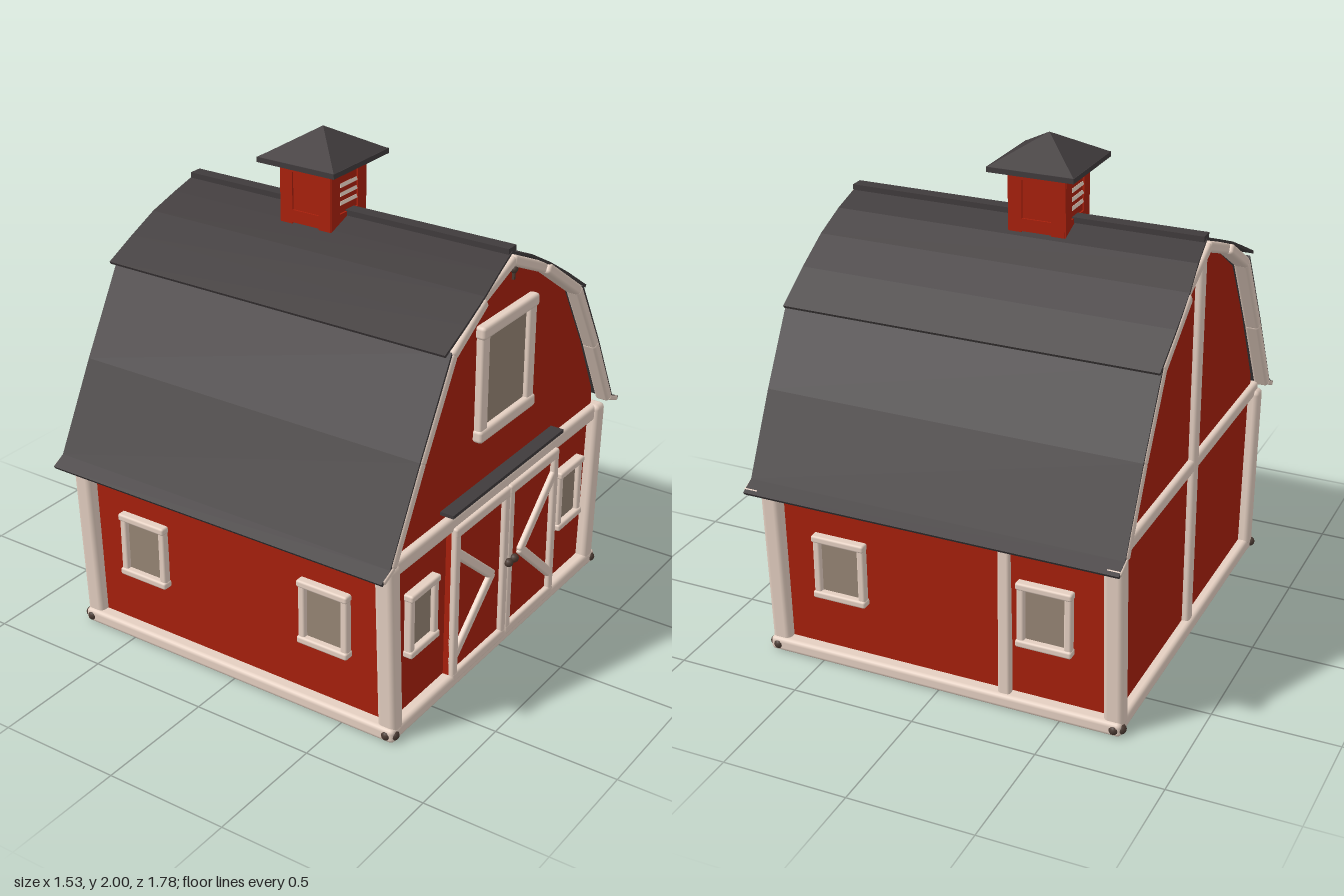
import * as THREE from 'three';
import { RoundedBoxGeometry } from 'three/addons/geometries/RoundedBoxGeometry.js';

const mat = (name, color) => {
  const m = new THREE.MeshStandardMaterial({ color });
  m.name = name;
  return m;
};

export function createModel() {
  const red = mat('barn red', 0xa8200c);
  const cream = mat('cream trim', 0xe4cfc1);
  const slate = mat('dark roof', 0x403b3c);
  const glass = mat('window glass', 0x958474);
  const iron = mat('brown iron', 0x4a3a32);

  const barn = new THREE.Group();
  barn.name = 'barn';

  const add = (parent, name, geometry, material, x = 0, y = 0, z = 0) => {
    const m = new THREE.Mesh(geometry, material);
    m.name = name;
    m.position.set(x, y, z);
    parent.add(m);
    return m;
  };
  const box = (parent, name, material, w, h, d, x, y, z) =>
    add(parent, name, new THREE.BoxGeometry(w, h, d), material, x, y, z);
  // softly rounded timber
  const beam = (parent, name, w, h, d, x, y, z) =>
    add(parent, name, new RoundedBoxGeometry(w, h, d, 2, Math.min(w, h, d) * 0.3), cream, x, y, z);
  // timber between two [z, y] points in a plane of constant x
  const strip = (parent, name, x, [z1, y1], [z2, y2], width, thick, extra = 0) => {
    const length = Math.hypot(z2 - z1, y2 - y1) + extra;
    const m = beam(parent, name, thick, length, width, x, (y1 + y2) / 2, (z1 + z2) / 2);
    m.rotation.x = Math.atan2(z2 - z1, y2 - y1);
    return m;
  };
  // [z, y] outline swept along x, centred on x = -0.01
  const sweep = (points, length) => {
    const shape = new THREE.Shape(points.map(([z, y]) => new THREE.Vector2(z, y)));
    const g = new THREE.ExtrudeGeometry(shape, { depth: length, bevelEnabled: false });
    return g.translate(0, 0, -length / 2).rotateY(-Math.PI / 2).translate(-0.01, 0, 0);
  };

  // walls, gables and floor
  add(barn, 'walls', sweep([[-0.735, 0.015], [0.735, 0.015], [0.76, 0.77], [0.755, 0.82], [0.59, 1.15],
    [0.43, 1.42], [0.23, 1.55], [0.01, 1.635], [-0.23, 1.52], [-0.475, 1.35], [-0.63, 1.08],
    [-0.755, 0.82], [-0.76, 0.77]], 1.39), red);

  // roof sheets, slightly drawn in towards the ridge
  const roofSheet = (name, outer, thick) => {
    const inner = outer.map(([z, y]) => [z * 0.99, y - thick]).reverse();
    const g = sweep([...outer, ...inner], 1.51);
    const p = g.attributes.position;
    for (let i = 0; i < p.count; i++) {
      p.setX(i, p.getX(i) * (1 - 0.04 * Math.max(0, 1 - Math.abs(p.getZ(i)) / 0.27)));
    }
    g.computeVertexNormals();
    add(barn, name, g, slate);
  };
  roofSheet('frontLowerRoof', [[0.89, 0.745], [0.835, 0.775], [0.655, 1.115], [0.46, 1.46]], 0.012);
  roofSheet('backLowerRoof', [[-0.89, 0.745], [-0.83, 0.775], [-0.675, 1.083], [-0.505, 1.385]], 0.012);
  roofSheet('upperRoof', [[0.505, 1.465], [0.37, 1.53], [0.24, 1.592], [0.12, 1.64], [0.01, 1.68],
    [-0.12, 1.628], [-0.24, 1.56], [-0.38, 1.472], [-0.535, 1.368]], 0.01);
  box(barn, 'ridgeCap', slate, 1.45, 0.022, 0.055, -0.01, 1.684, 0.005);

  // raking trim along both gable edges, thin at the eaves and set in at the peak
  const rake = [[0.875, 0.742], [0.81, 0.772], [0.633, 1.1], [0.438, 1.438], [0.23, 1.565], [0.01, 1.647],
    [-0.23, 1.538], [-0.485, 1.362], [-0.653, 1.07], [-0.805, 0.772], [-0.875, 0.742]];
  for (const s of [-1, 1]) {
    for (let i = 0; i < rake.length - 1; i++) {
      const eave = i === 0 || i === 9;
      const peak = i === 4 || i === 5;
      strip(barn, 'gableEdgeTrim', -0.01 + s * (peak ? 0.715 : 0.73), rake[i], rake[i + 1],
        eave ? 0.02 : 0.042, 0.06, eave ? 0 : 0.012);
    }
  }

  // base beams, corner posts and corner bolts
  const bolt = new THREE.SphereGeometry(0.02, 12, 8);
  for (const s of [-1, 1]) {
    beam(barn, 'sideBaseBeam', 1.48, 0.058, 0.07, -0.007, 0.03, s * 0.753);
    beam(barn, 'endBaseBeam', 0.07, 0.058, 1.57, -0.007 + s * 0.703, 0.03, 0);
    for (const x of [-0.71, 0.692]) {
      strip(barn, 'cornerPost', x, [s * 0.738, 0.03], [s * 0.772, 0.75], 0.07, 0.078);
      add(barn, 'cornerBolt', bolt, iron, x + Math.sign(x) * 0.008, 0.029, s * 0.778);
      add(barn, 'cornerBolt', bolt, iron, x + Math.sign(x) * 0.032, 0.029, s * 0.762);
    }
  }

  // cross timbers on the gables and back wall
  beam(barn, 'doorEndCrossBeam', 0.05, 0.065, 1.6, 0.69, 0.717, 0);
  beam(barn, 'plainEndCrossBeam', 0.05, 0.055, 1.6, -0.705, 0.75, 0);
  beam(barn, 'plainEndPost', 0.05, 1.6, 0.055, -0.708, 0.83, 0.015);
  beam(barn, 'backWallPost', 0.05, 0.72, 0.04, -0.27, 0.39, -0.752);

  // framed window facing +z before turning
  const windowUnit = (name, w, h, bar, x, y, z, turn) => {
    const g = new THREE.Group();
    g.name = name;
    box(g, 'glass', glass, w - bar, h - bar, 0.008, 0, 0, 0.006);
    for (const s of [-1, 1]) {
      beam(g, 'sideFrame', bar, h - bar, 0.035, s * (w - bar * 1.2) / 2, 0, 0.012);
      beam(g, 'crossFrame', w, bar, 0.045, 0, s * (h - bar) / 2, 0.014);
    }
    g.position.set(x, y, z);
    g.rotation.y = turn;
    barn.add(g);
  };
  for (const x of [-0.435, 0.415]) {
    windowUnit('frontWindow', 0.225, 0.272, 0.03, x, 0.422, 0.75, 0);
    windowUnit('backWindow', 0.225, 0.272, 0.03, x, 0.422, -0.75, Math.PI);
  }
  for (const z of [0.55, -0.563]) {
    windowUnit('doorEndWindow', 0.198, 0.27, 0.03, 0.687, 0.425, z, Math.PI / 2);
  }
  windowUnit('loftWindow', 0.405, 0.468, 0.052, 0.687, 1.212, -0.006, Math.PI / 2);

  // paired doors with chevron bracing
  const door = (name, zOuter, zInner, zApex, zKnob) => {
    const g = new THREE.Group();
    g.name = name;
    const s = Math.sign(zOuter - zInner);
    const mid = (zOuter + zInner) / 2;
    const width = Math.abs(zOuter - zInner);
    const top = 0.705, bottom = 0.027, x = 0.715;
    box(g, 'panel', red, 0.025, top - bottom, width, 0.698, (top + bottom) / 2, mid);
    for (const z of [zOuter - s * 0.018, zInner + s * 0.018]) {
      beam(g, 'stile', 0.034, top - bottom, 0.036, x, (top + bottom) / 2, z);
    }
    for (const y of [top - 0.022, bottom + 0.022]) {
      beam(g, 'rail', 0.036, 0.044, width, x, y, mid);
    }
    for (const y of [0.595, 0.135]) {
      strip(g, 'brace', x, [zOuter - s * 0.02, y], [zApex, 0.367], 0.04, 0.03, 0.02);
    }
    add(g, 'knob', new THREE.SphereGeometry(0.018, 12, 8), iron, 0.742, 0.378, zKnob);
    barn.add(g);
  };
  door('leftDoor', 0.365, -0.032, 0.078, -0.017);
  door('rightDoor', -0.418, -0.034, -0.148, -0.06);
  box(barn, 'doorTrack', slate, 0.06, 0.014, 0.83, 0.712, 0.782, -0.003);

  // hoist hook under the door-end peak
  add(barn, 'hoistHook', new THREE.SphereGeometry(0.016, 10, 8), iron, 0.715, 1.605, -0.01);
  box(barn, 'hoistPin', iron, 0.01, 0.05, 0.01, 0.715, 1.59, -0.01);

  // cupola with framed panels, louvres and a pointed cap
  const cupola = new THREE.Group();
  cupola.name = 'cupola';
  cupola.position.set(-0.104, 0, 0.017);
  barn.add(cupola);
  box(cupola, 'tower', red, 0.222, 0.27, 0.222, 0, 1.755, 0);
  for (let i = 0; i < 4; i++) {
    const side = new THREE.Group();
    side.name = 'cupolaSide';
    side.rotation.y = i * Math.PI / 2;
    cupola.add(side);
    for (const s of [-1, 1]) {
      box(side, 'panelStile', red, 0.055, 0.25, 0.008, s * 0.0875, 1.755, 0.114);
      box(side, 'panelRail', red, 0.12, 0.05, 0.008, 0, 1.765 + s * 0.1, 0.114);
    }
    if (i % 2) {
      for (const y of [1.73, 1.765, 1.8]) {
        const slat = box(side, 'louvre', cream, 0.11, 0.014, 0.008, 0, y, 0.113);
        slat.rotation.x = -0.4;
      }
    }
  }
  box(cupola, 'capEave', slate, 0.35, 0.02, 0.365, 0, 1.885, 0);
  const cap = new THREE.ConeGeometry(0.175 * Math.SQRT2, 0.107, 4, 1).rotateY(Math.PI / 4).toNonIndexed();
  cap.computeVertexNormals();
  add(cupola, 'cap', cap, slate, 0, 1.947, 0).scale.z = 1.04;

  return barn;
}
